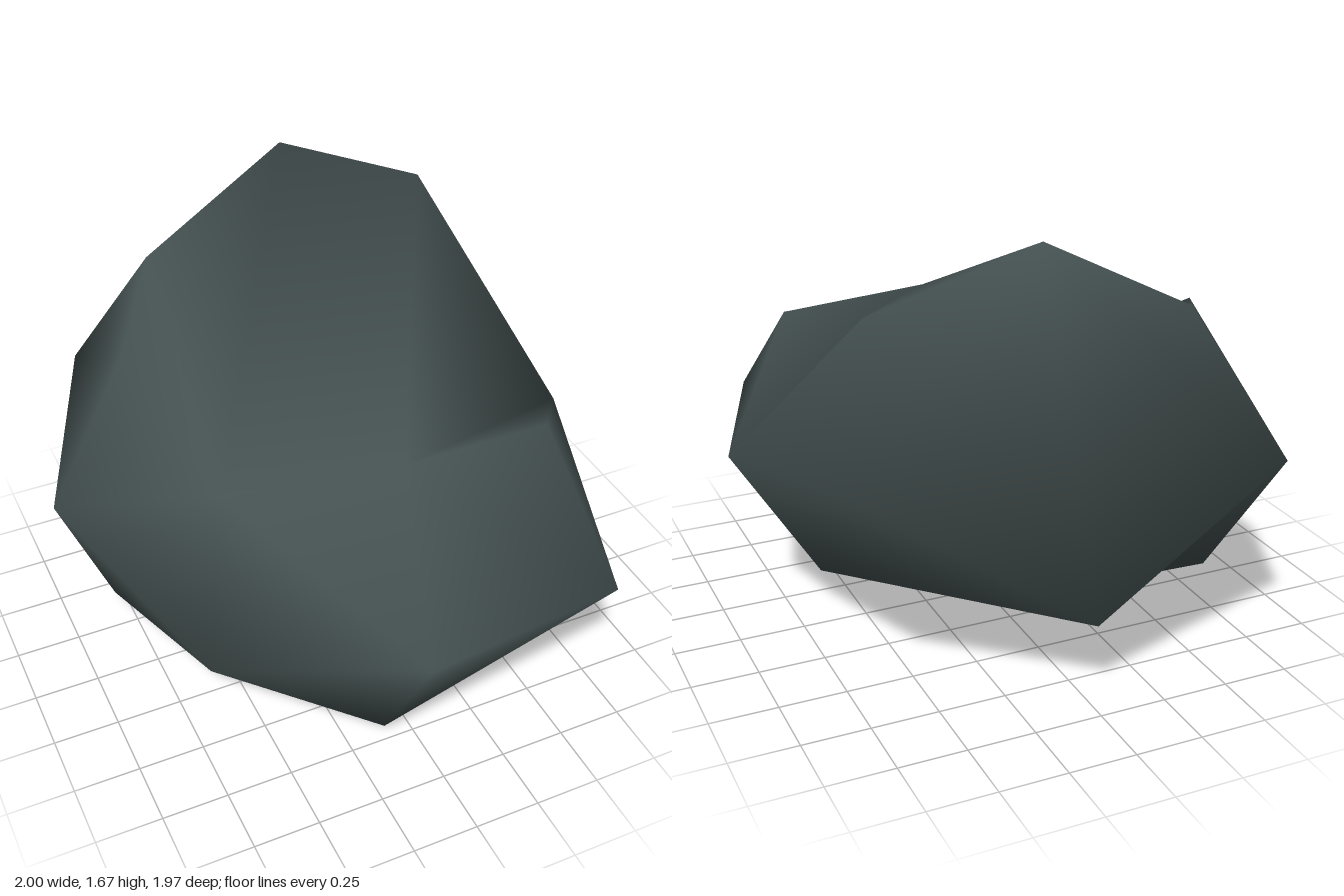
import * as THREE from 'three';

// Twenty corners of the boulder
const corners = {
  // crest and upper back
  P: [0.18, 1.67, -0.86], S: [0.74, 1.46, -0.75], Q: [-0.43, 1.355, -0.76], T: [-0.68, 1.23, -0.34],
  // upper front
  B: [0.62, 1.09, 0.52], C: [0.03, 1.12, 0.55], Z: [-0.52, 0.91, 0.2],
  // waist
  A: [1.0, 0.75, 0.0], R: [0.84, 0.925, -0.89], L: [-0.7, 0.83, -0.99], N: [-1.0, 0.58, -0.38],
  M: [-0.05, 0.54, 0.97], E: [0.68, 0.65, 0.98],
  // underside
  F: [-0.11, 0.05, 0.73], Y: [0.48, 0.26, 0.75], X: [0.65, 0.18, 0.08], O: [-0.08, 0.0, -0.13],
  K: [-0.81, 0.1, -0.335], W: [-0.62, 0.12, 0.26], H: [0.0, 0.33, -0.96],
};

// Facets, each fanned from its first corner
const facets = [
  'CASPZ', 'CBA', 'ZPQT', 'MCZ', // top
  'EABCM', 'MZWFE', 'YXAEF', 'AXRS', // front and left side
  'PSRHL', 'LNTQP', 'NKWZT', // back and right side
  'LHOKN', 'XYFOHR', 'OFWK', // underside
];

export function createModel() {
  const group = new THREE.Group();
  group.name = 'rock';

  const stone = new THREE.MeshStandardMaterial({ color: 0x465252 });
  stone.name = 'dark slate stone';

  const names = Object.keys(corners);
  const index = [];
  for (const facet of facets) {
    const ring = [...facet].map((n) => names.indexOf(n));
    for (let i = 1; i < ring.length - 1; i++) index.push(ring[0], ring[i], ring[i + 1]);
  }

  // Shared corners let the shading roll smoothly over the facets
  const geometry = new THREE.BufferGeometry();
  geometry.setAttribute('position', new THREE.Float32BufferAttribute(Object.values(corners).flat(), 3));
  geometry.setIndex(index);
  geometry.computeVertexNormals();

  const boulder = new THREE.Mesh(geometry, stone);
  boulder.name = 'boulder';
  group.add(boulder);
  return group;
}
